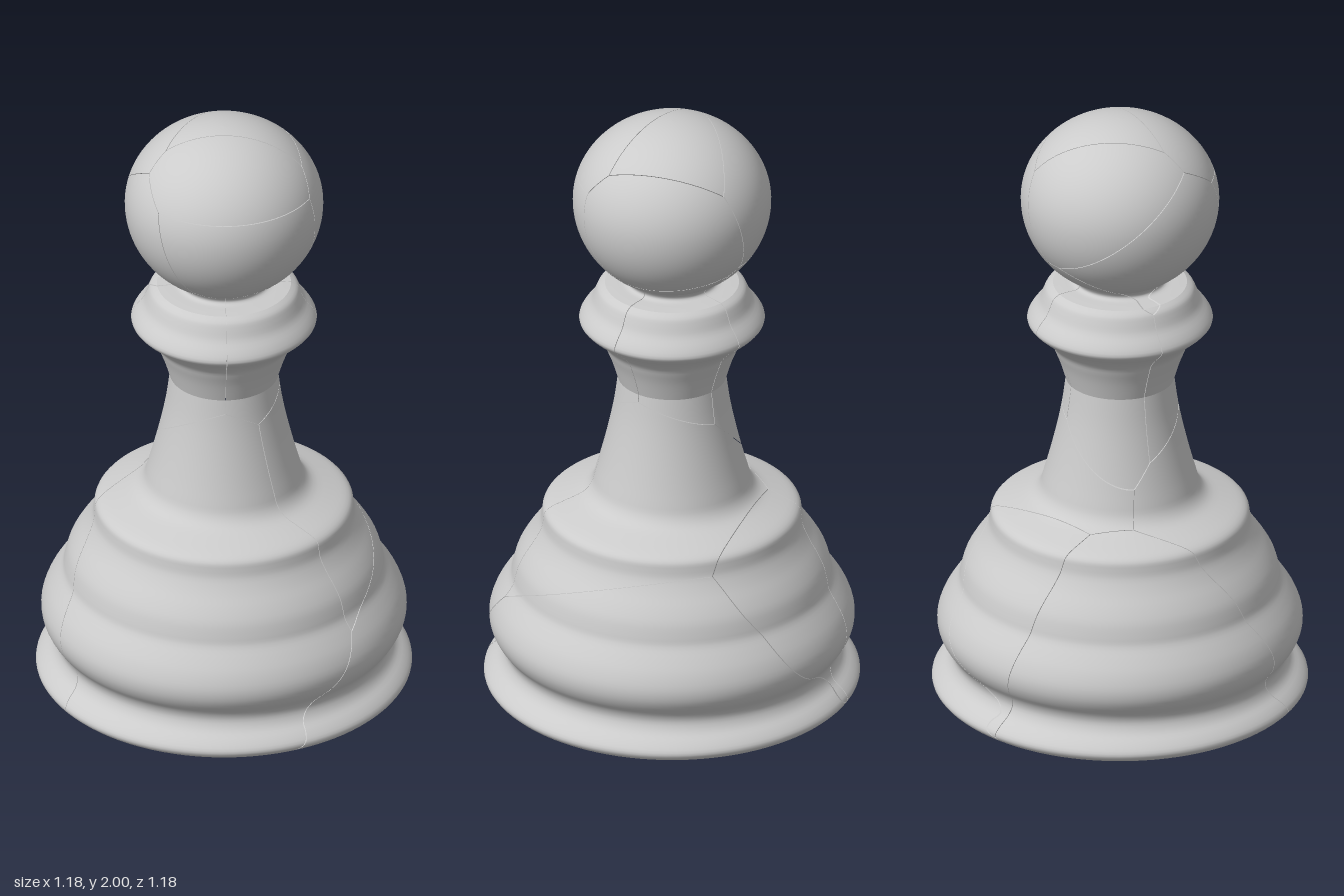
import * as THREE from 'three';

const v3 = (x, y, z) => new THREE.Vector3(x, y, z);
const grey = new THREE.MeshStandardMaterial({ color: 0xcccccc });

// Outline in sections of [radius, height]; each section is smooth, joints stay sharp
const sections = {
  base: [[0, 0], [0.15, 0.001], [0.32, 0.005], [0.48, 0.013], [0.55, 0.027], [0.583, 0.047], [0.588, 0.068],
    [0.568, 0.092], [0.54, 0.115], [0.526, 0.145], [0.533, 0.175], [0.555, 0.205], [0.57, 0.24], [0.571, 0.28],
    [0.555, 0.325], [0.53, 0.365], [0.506, 0.4], [0.498, 0.43], [0.486, 0.47], [0.463, 0.51], [0.435, 0.55],
    [0.413, 0.59], [0.407, 0.62], [0.402, 0.643], [0.38, 0.66], [0.33, 0.678], [0.28, 0.697], [0.253, 0.725],
    [0.24, 0.765], [0.222, 0.83], [0.2, 0.92], [0.182, 1.01], [0.17, 1.1]],
  collar: [[0.17, 1.1], [0.182, 1.14], [0.192, 1.17], [0.204, 1.2], [0.216, 1.228], [0.245, 1.26], [0.278, 1.288],
    [0.291, 1.308], [0.278, 1.335], [0.254, 1.365], [0.241, 1.395], [0.23, 1.417], [0.21, 1.43]],
  neck: [[0.21, 1.43], [0.18, 1.432], [0.15, 1.434], [0.141, 1.445], [0.152, 1.462]],
};

function sectionPoints(name) {
  const pts = sections[name].map(([r, y]) => new THREE.Vector2(r, y));
  const out = new THREE.SplineCurve(pts).getPoints((pts.length - 1) * 3);
  out.forEach((p) => { p.x = Math.max(0, p.x); p.y = Math.max(0, p.y); });
  return out;
}

// Slightly flattened ball
function headPoints() {
  const out = [];
  for (let i = 0; i <= 44; i++) {
    const a = THREE.MathUtils.lerp(-1.06, Math.PI / 2, i / 44);
    out.push(new THREE.Vector2(Math.max(0, 0.311 * Math.cos(a)), 1.723 + (a < 0 ? 0.3 : 0.277) * Math.sin(a)));
  }
  return out;
}

// Shard centres: every point of the surface belongs to the nearest one
const shards = [
  ['headTopBack', 0, 1.91, -0.05], ['headTopFront', 0.11, 1.92, 0.11], ['headLeftSide', -0.2, 1.85, -0.05],
  ['headBack', 0.12, 1.74, -0.24], ['headFrontRight', 0.11, 1.7, 0.11], ['headFrontLeft', -0.14, 1.63, 0.12],
  ['collarFront', -0.04, 1.28, 0.2], ['collarSide', 0.2, 1.28, 0.02],
  ['collarOtherSide', -0.2, 1.28, -0.06], ['collarBack', 0.05, 1.28, -0.2],
  ['bodyFront', 0.2, 0.85, 0.3], ['bodyBackSide', 0.2, 0.85, -0.18], ['baseBack', 0.2, 0.25, -0.47],
  ['bodySide', -0.8, 0.55, 0], ['bodyBackCorner', -0.35, 0.7, -0.6],
].map(([name, x, y, z]) => ({ name, c: v3(x, y, z) }));

const GAP = 0.001, DEPTH = 0.03;

// Keep the part of a polygon behind a plane, blending the normals along cut edges
function clip(poly, plane) {
  const d = poly.map((v) => plane.distanceToPoint(v.p));
  if (d.every((x) => x <= 0)) return poly;
  const out = [];
  poly.forEach((a, i) => {
    const j = (i + 1) % poly.length, b = poly[j];
    if (d[i] <= 0) out.push(a);
    if ((d[i] < 0 && d[j] > 0) || (d[i] > 0 && d[j] < 0)) {
      const t = d[i] / (d[i] - d[j]);
      out.push({ p: a.p.clone().lerp(b.p, t), n: a.n.clone().lerp(b.n, t).normalize() });
    }
  });
  return out;
}

function trianglesOf(geo) {
  const { position, normal } = geo.attributes, idx = geo.index.array, tris = [];
  for (let i = 0; i < idx.length; i += 3) {
    const tri = [0, 1, 2].map((k) => ({
      p: v3().fromBufferAttribute(position, idx[i + k]),
      n: v3().fromBufferAttribute(normal, idx[i + k]),
    }));
    const area = tri[1].p.clone().sub(tri[0].p).cross(tri[2].p.clone().sub(tri[0].p)).length();
    if (area > 1e-10) tris.push(tri);
  }
  return tris;
}

// One shard: its patch of the surface plus the narrow walls of the cracks around it
function shardGeometry(shard, tris) {
  const pos = [], nor = [];
  const push = (p, n) => { pos.push(p.x, p.y, p.z); nor.push(n.x, n.y, n.z); };
  const planes = shards.filter((s) => s !== shard).map((s) => {
    const m = s.c.clone().sub(shard.c).normalize();
    const mid = s.c.clone().add(shard.c).multiplyScalar(0.5).addScaledVector(m, -GAP);
    return new THREE.Plane().setFromNormalAndCoplanarPoint(m, mid);
  });
  for (const tri of tris) {
    let poly = tri;
    for (const plane of planes) {
      poly = clip(poly, plane);
      if (poly.length < 3) break;
    }
    if (poly.length < 3) continue;
    for (let i = 1; i < poly.length - 1; i++) [poly[0], poly[i], poly[i + 1]].forEach((v) => push(v.p, v.n));
    if (poly === tri) continue;
    poly.forEach((a, i) => {
      const b = poly[(i + 1) % poly.length];
      const on = (v, pl) => Math.abs(pl.distanceToPoint(v.p)) < 1e-7;
      const plane = planes.find((pl) => on(a, pl) && on(b, pl));
      if (!plane) return;
      const inner = (v) => v.p.clone().addScaledVector(
        v.n.clone().projectOnPlane(plane.normal), -DEPTH);
      const ai = inner(a), bi = inner(b);
      [b.p, a.p, ai, b.p, ai, bi].forEach((p) => push(p, plane.normal));
    });
  }
  const geo = new THREE.BufferGeometry();
  geo.setAttribute('position', new THREE.Float32BufferAttribute(pos, 3));
  geo.setAttribute('normal', new THREE.Float32BufferAttribute(nor, 3));
  return geo;
}

export function createModel() {
  const group = new THREE.Group();
  group.name = 'crackedPawn';
  const lathes = { head: new THREE.LatheGeometry(headPoints(), 96) };
  for (const name in sections) lathes[name] = new THREE.LatheGeometry(sectionPoints(name), 96);

  // Shards of the outer surface
  const tris = Object.values(lathes).flatMap(trianglesOf);
  for (const shard of shards) {
    const geo = shardGeometry(shard, tris);
    if (geo.attributes.position.count === 0) continue;
    const mesh = new THREE.Mesh(geo, grey);
    mesh.name = shard.name;
    group.add(mesh);
  }

  // Solid core just under the surface, closing the floor of the cracks
  for (const name in lathes) {
    const geo = lathes[name], { position, normal } = geo.attributes;
    for (let i = 0; i < position.count; i++) {
      const n = v3().fromBufferAttribute(normal, i);
      const p = v3().fromBufferAttribute(position, i).addScaledVector(n, -0.02);
      position.setXYZ(i, p.x, p.y, p.z);
    }
    const core = new THREE.Mesh(geo, grey);
    core.name = name + 'Core';
    group.add(core);
  }
  return group;
}
